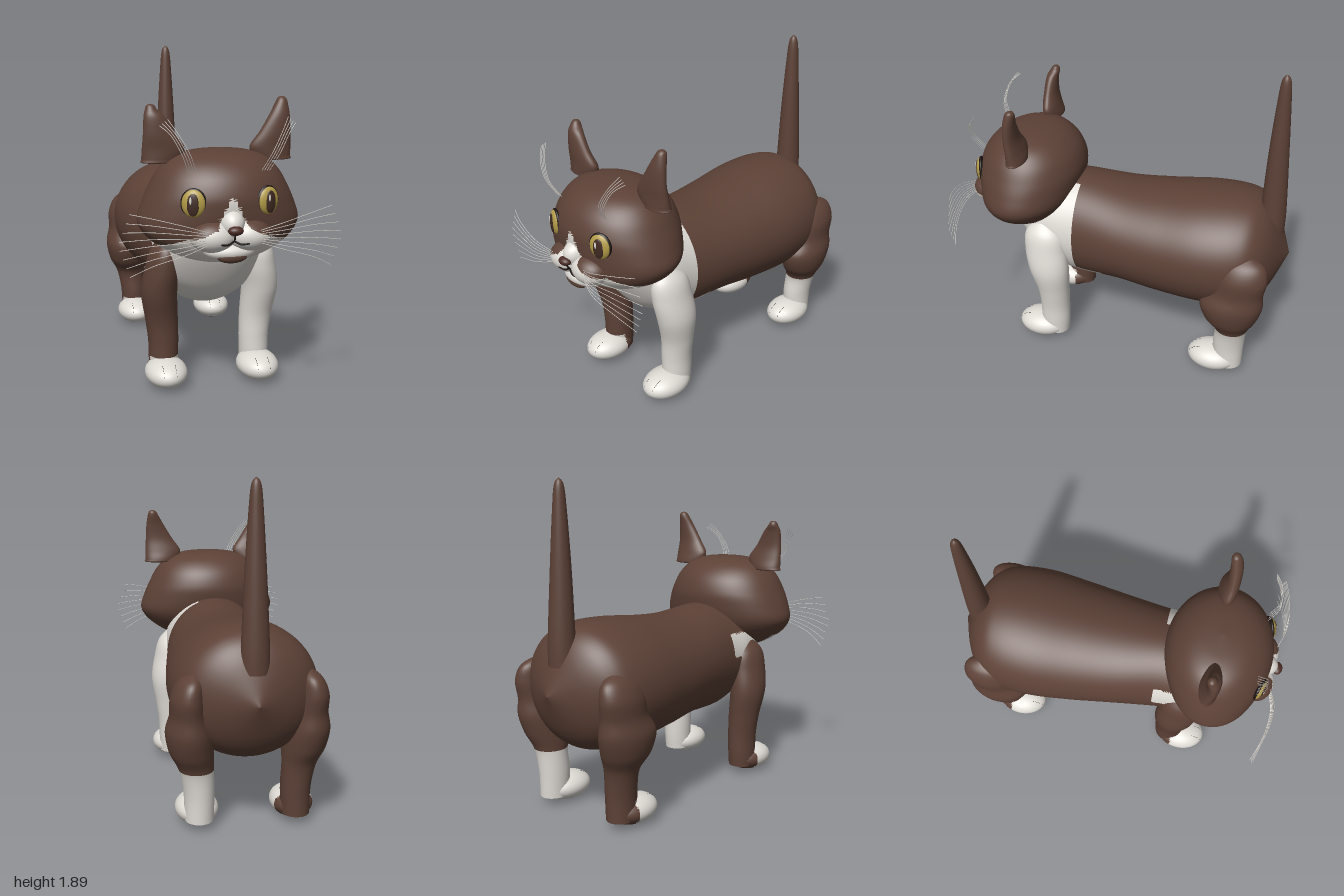
import * as THREE from 'three';

const mat = (name, color) => Object.assign(new THREE.MeshStandardMaterial({ color }), { name });

export function createModel() {
  const brown = mat('brown fur', 0x5c4136);
  const white = mat('white fur', 0xdedad4);
  const yellow = mat('yellow iris', 0xb39c48);
  const dark = mat('dark pupil', 0x3f2a22);
  const noseBrown = mat('dark nose', 0x4d2d26);
  const black = mat('black line', 0x1c1412);

  const cat = new THREE.Group();
  cat.name = 'cat';

  const add = (name, geometry, material, parent = cat) => {
    const mesh = new THREE.Mesh(geometry, material);
    mesh.name = name;
    parent.add(mesh);
  };

  // Splits a geometry into brown and white groups by a rule on face centres
  const addFur = (name, geometry, isWhite, parent = cat) => {
    const p = geometry.attributes.position, idx = geometry.index.array;
    const lists = [[], []];
    for (let i = 0; i < idx.length; i += 3) {
      const f = [idx[i], idx[i + 1], idx[i + 2]];
      const mid = get => f.reduce((s, k) => s + get.call(p, k), 0) / 3;
      lists[isWhite(mid(p.getX), mid(p.getY), mid(p.getZ)) ? 1 : 0].push(...f);
    }
    geometry.setIndex([...lists[0], ...lists[1]]);
    geometry.clearGroups();
    geometry.addGroup(0, lists[0].length, 0);
    geometry.addGroup(lists[0].length, lists[1].length, 1);
    add(name, geometry, [brown, white], parent);
  };

  // Smooth skin over elliptical sections [t, c1, r1, c2, r2]; place maps (t, a, b) to a point
  const loft = (sections, rings, segs, place) => {
    const n = sections.length - 1, pos = [], index = [];
    const at = k => sections[Math.min(n, Math.max(0, k))];
    for (let i = 0; i <= rings; i++) {
      const s = (i / rings) * n, k = Math.min(n - 1, Math.floor(s)), u = s - k;
      const v = at(k).map((p1, c) => {
        const p0 = at(k - 1)[c], p2 = at(k + 1)[c], p3 = at(k + 2)[c];
        return p1 + 0.5 * u * (p2 - p0 + u * (2 * p0 - 5 * p1 + 4 * p2 - p3 + u * (3 * (p1 - p2) + p3 - p0)));
      });
      for (let j = 0; j < segs; j++) {
        const a = (j / segs) * Math.PI * 2;
        pos.push(...place(v[0], v[1] + v[2] * Math.cos(a), v[3] + v[4] * Math.sin(a)));
        if (i < rings) {
          const q = i * segs + j, r = i * segs + (j + 1) % segs;
          index.push(q, q + segs, r, r, q + segs, r + segs);
        }
      }
    }
    const g = new THREE.BufferGeometry();
    g.setAttribute('position', new THREE.Float32BufferAttribute(pos, 3));
    g.setIndex(index);
    g.computeVertexNormals();
    return g;
  };
  const upright = (t, a, b) => [a, t, b];
  const lengthwise = (t, a, b) => [a, b, t];

  const ellipsoid = (x, y, z, rx, ry, rz, seg = 28) =>
    new THREE.SphereGeometry(1, seg, Math.round(seg * 0.7)).scale(rx, ry, rz).translate(x, y, z);

  const strand = (points, radius) => new THREE.TubeGeometry(
    new THREE.CatmullRomCurve3(points.map(p => new THREE.Vector3(...p))), 12, radius, 4);

  // Body from chest to rump, with a white bib, left shoulder and belly patch
  const body = loft([
    [0.7, 0, 0, 0.88, 0], [0.66, 0, 0.19, 0.88, 0.13], [0.55, 0, 0.27, 0.82, 0.25],
    [0.43, 0, 0.3, 0.78, 0.305], [0.27, 0, 0.31, 0.755, 0.335], [0, 0, 0.35, 0.75, 0.32],
    [-0.25, 0, 0.385, 0.745, 0.34], [-0.5, 0, 0.41, 0.752, 0.362], [-0.7, 0, 0.395, 0.755, 0.363],
    [-0.82, 0, 0.34, 0.76, 0.325], [-0.91, 0, 0.22, 0.76, 0.22], [-1, 0, 0, 0.75, 0],
  ], 121, 108, lengthwise);
  addFur('body', body, (x, y, z) => {
    if (z < 0.27) return z > 0.11 && y < 0.54 && x > -0.17;
    return y > 0.92 ? x > 0.1 : x > -0.33 + Math.max(0, 0.83 - y) * 0.46;
  });

  // Tail
  add('tail', loft([
    [0.9, 0, 0.08, -0.875, 0.08], [1.05, 0, 0.074, -0.88, 0.074], [1.4, 0, 0.058, -0.875, 0.058],
    [1.7, 0, 0.04, -0.873, 0.04], [1.85, 0, 0.026, -0.873, 0.026], [1.89, 0, 0, -0.873, 0],
  ], 40, 28, upright), brown);

  // Head, with a white blaze and lower face
  const faceWhite = (x, y, z) => z > 0.6 &&
    (y < 1.04 - 0.45 * Math.abs(x) || Math.abs(x) < (1.17 - y) * 0.5);
  const head = new THREE.Group();
  head.name = 'head';
  cat.add(head);
  addFur('skull', loft([
    [0.765, 0, 0, 0.62, 0], [0.78, 0, 0.14, 0.63, 0.12], [0.82, 0, 0.26, 0.63, 0.2],
    [0.88, 0, 0.36, 0.63, 0.25], [0.94, 0, 0.42, 0.62, 0.285], [1, 0, 0.443, 0.61, 0.302],
    [1.08, 0, 0.42, 0.605, 0.315], [1.16, 0, 0.385, 0.602, 0.315], [1.25, 0, 0.335, 0.6, 0.28],
    [1.32, 0, 0.265, 0.6, 0.21], [1.358, 0, 0.16, 0.6, 0.12], [1.372, 0, 0, 0.6, 0],
  ], 88, 108, upright), faceWhite, head);
  addFur('noseBridge', ellipsoid(0, 1.02, 0.87, 0.07, 0.08, 0.1, 52), faceWhite, head);
  add('chin', ellipsoid(0, 0.872, 0.84, 0.14, 0.058, 0.1), white, head);
  add('chinPatch', ellipsoid(0, 0.85, 0.905, 0.08, 0.034, 0.032), brown, head);
  add('nose', ellipsoid(0, 1, 0.97, 0.04, 0.024, 0.03), noseBrown, head);
  add('lipCleft', strand([[0, 0.985, 0.96], [0, 0.965, 0.958], [0, 0.94, 0.945]], 0.005), black, head);

  for (const s of [1, -1]) {
    const side = s > 0 ? 'left' : 'right';
    addFur(side + 'Muzzle', ellipsoid(s * 0.095, 0.955, 0.87, 0.12, 0.085, 0.1, 52), faceWhite, head);
    add(side + 'MouthLine', strand([[0, 0.94, 0.942], [s * 0.035, 0.925, 0.955], [s * 0.075, 0.93, 0.964]], 0.005), black, head);

    // Eye: rim, iris, slit pupil and glint
    const eye = new THREE.Group();
    eye.name = side + 'Eye';
    eye.position.set(s * 0.195, 1.13, 0.872);
    eye.rotation.y = s * 0.36;
    head.add(eye);
    add('eyeRim', ellipsoid(0, 0, 0, 0.068, 0.079, 0.022), black, eye);
    add('iris', ellipsoid(0, 0, 0.004, 0.062, 0.073, 0.028), yellow, eye);
    add('pupil', ellipsoid(0, -0.004, 0.025, 0.032, 0.058, 0.0095), dark, eye);
    add('glint', ellipsoid(-0.012, 0.018, 0.034, 0.006, 0.02, 0.003, 12), white, eye);

    // Ear: a thin tapering blade with a slight bend
    const tip = s > 0 ? 1.64 : 1.61;
    const blade = [[1.3, 0.32, 0.32, 0.58, 0], [1.3, 0.22, 0.41, 0.58, 0.05], [1.32, 0.2, 0.412, 0.58, 0.055],
      [1.375, 0.18, 0.41, 0.588, 0.048], [1.45, 0.23, 0.405, 0.598, 0.04], [1.54, 0.285, 0.4, 0.595, 0.036],
      [tip - 0.03, 0.325, 0.39, 0.582, 0.03], [tip - 0.007, 0.34, 0.38, 0.578, 0.018], [tip, 0.36, 0.36, 0.578, 0]];
    add(side + 'Ear', loft(blade.map(([y, a, b, z, r]) =>
      [y, s * (a + b) / 2, (b - a) / 2, z, r]), 48, 36, upright), brown, head);

    // Whiskers on the muzzle and above the eye
    const whiskers = new THREE.Group();
    whiskers.name = side + 'Whiskers';
    head.add(whiskers);
    for (let i = 0; i < 8; i++) {
      const f = i / 7 - 0.5, end = 0.59 - 0.12 * Math.abs(f);
      add('whisker', strand([[s * 0.13, 0.96 + f * 0.06, 0.95], [s * 0.25, 0.965 + f * 0.14, 0.985],
        [s * 0.42, 0.96 + f * 0.24, 0.965], [s * end, 0.94 + f * 0.32, 0.925]], 0.0018), white, whiskers);
    }
    for (let i = 0; i < 4; i++) {
      const d = i * 0.014;
      add('browWhisker', strand([[s * (0.172 + d), 1.28, 0.84], [s * (0.215 + d), 1.38, 0.885],
        [s * (0.27 + d), 1.48, 0.865], [s * (0.315 + d), 1.55 - i * 0.01, 0.82]], 0.0018), white, whiskers);
    }
  }

  // Legs: sections [y, centre x, half width, centre z, half depth]
  const foreleg = [[0.05, 0.27, 0.08, 0.41, 0.085], [0.14, 0.27, 0.084, 0.41, 0.092], [0.25, 0.27, 0.087, 0.41, 0.093],
    [0.38, 0.28, 0.094, 0.412, 0.1], [0.54, 0.295, 0.102, 0.43, 0.125], [0.68, 0.28, 0.096, 0.45, 0.13],
    [0.8, 0.265, 0.075, 0.46, 0.11], [0.89, 0.25, 0, 0.47, 0]];
  const hindleg = [[0.05, 0.27, 0.08, -0.72, 0.09], [0.2, 0.27, 0.084, -0.72, 0.095], [0.34, 0.285, 0.095, -0.73, 0.1],
    [0.44, 0.31, 0.12, -0.72, 0.155], [0.55, 0.325, 0.125, -0.722, 0.185], [0.65, 0.33, 0.1, -0.75, 0.155],
    [0.76, 0.335, 0.09, -0.77, 0.15], [0.85, 0.32, 0.06, -0.78, 0.11], [0.9, 0.3, 0, -0.78, 0]];
  for (const [name, sections, footZ, sock] of [['Foreleg', foreleg, 0.495, 2], ['Hindleg', hindleg, -0.63, 0.335]]) {
    for (const s of [1, -1]) {
      const leg = new THREE.Group();
      leg.name = (s > 0 ? 'left' : 'right') + name;
      cat.add(leg);
      addFur('limb', loft(sections.map(([y, x, ...r]) => [y, x * s, ...r]), 64, 36, upright),
        (x, y, z) => s > 0 ? y < sock : y < 0.16 && z > footZ - 0.06, leg);

      // Paw with toe creases and a sole pad
      addFur('paw', ellipsoid(s * 0.27, 0.083, footZ, 0.12, 0.081, 0.158, 48),
        (x, y, z) => s > 0 || z > footZ - 0.06, leg);
      for (const dx of [-0.035, 0.035]) {
        const x = s * 0.27 + dx;
        add('toeCrease', strand([[x, 0.146, footZ + 0.08], [x, 0.127, footZ + 0.119], [x, 0.1, footZ + 0.145]], 0.004), black, leg);
      }
      add('solePad', ellipsoid(s * 0.27, 0.006, footZ + 0.01, 0.05, 0.006, 0.05, 20), brown, leg);
    }
  }
  return cat;
}
